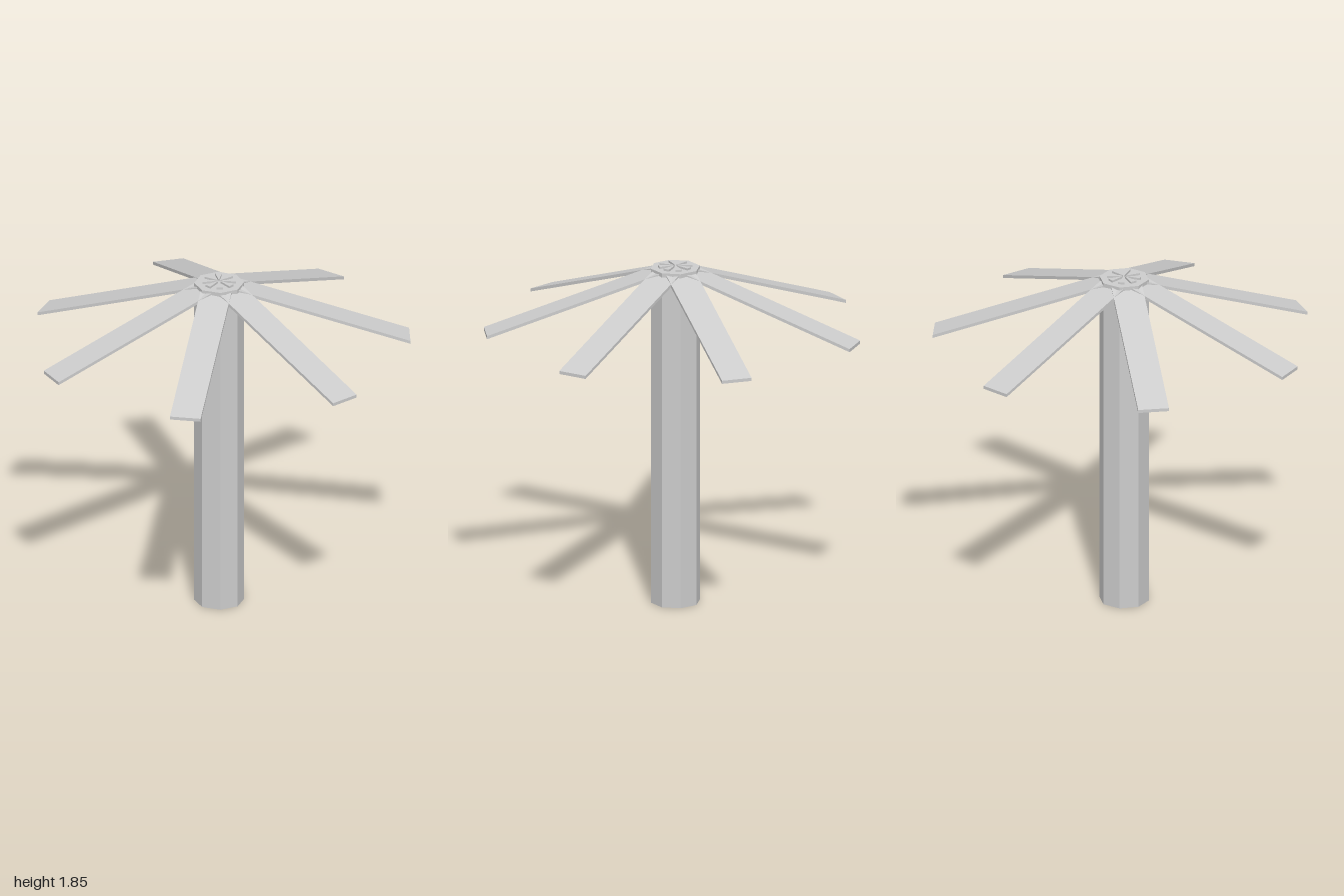
import * as THREE from 'three';

const AXIS_X = -0.034; // trunk axis
const HEIGHT = 1.84;

export function createModel() {
  const model = new THREE.Group();
  const grey = new THREE.MeshStandardMaterial({ color: 0xcccccc });
  grey.name = 'light grey';

  const add = (name, geometry, parent) => {
    const mesh = new THREE.Mesh(geometry, grey);
    mesh.name = name;
    parent.add(mesh);
    return mesh;
  };

  // Vertical-sided plate drawn in the x/z plane, resting on y = 0
  const plate = (points, thickness) => {
    const shape = new THREE.Shape(points.map(([x, z]) => new THREE.Vector2(x, z)));
    return new THREE.ExtrudeGeometry(shape, { depth: thickness, bevelEnabled: false }).rotateX(-Math.PI / 2);
  };

  const tree = new THREE.Group();
  tree.name = 'tree';
  tree.position.x = AXIS_X;
  model.add(tree);

  // Eight-sided trunk with corners on the axes
  const trunk = new THREE.CylinderGeometry(0.132, 0.132, HEIGHT, 8).toNonIndexed();
  trunk.computeVertexNormals();
  add('trunk', trunk, tree).position.y = HEIGHT / 2;

  // Seven straight leaves, sheared downward so the ends stay vertical
  const inner = 0.08, outer = 1.004, half = 0.082;
  const leaf = plate([[inner, -half], [outer, -half], [outer, half], [inner, half]], 0.017);
  const p = leaf.attributes.position;
  for (let i = 0; i < p.count; i++) {
    p.setY(i, p.getY(i) + 1.5 + (outer - p.getX(i)) * 0.343);
  }
  leaf.computeVertexNormals();
  for (let i = 0; i < 7; i++) {
    add('leaf', leaf, tree).rotation.y = (i * Math.PI * 2) / 7;
  }

  // Small rosette of raised wedges on the trunk top
  const wedge = plate([[0.012, -0.002], [0.088, -0.017], [0.088, 0.017], [0.012, 0.002]], 0.012);
  for (let i = 0; i < 8; i++) {
    const petal = add('topWedge', wedge, tree);
    petal.position.y = HEIGHT - 0.001;
    petal.rotation.y = (i * Math.PI) / 4;
  }

  return model;
}
